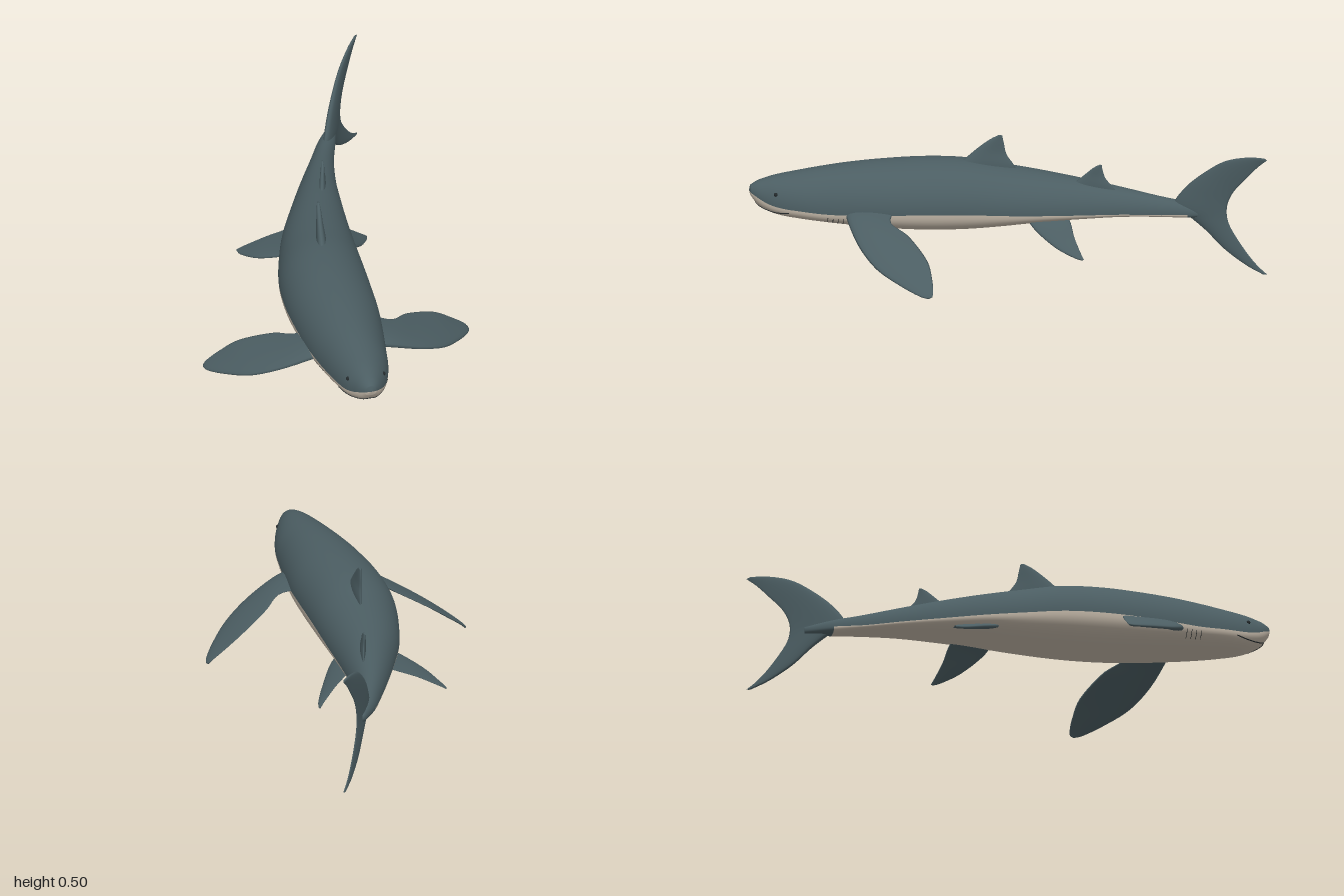
import * as THREE from 'three';

const mat = (name, color) => Object.assign(new THREE.MeshStandardMaterial({ color }), { name });

// Skin a list of closed rings; pick(i, j, count) chooses the material group of a quad
function loft(rings, pick = () => 0) {
  const n = rings[0].length, buckets = [[], []];
  for (let i = 0; i < rings.length - 1; i++) {
    for (let j = 0; j < n; j++) {
      const a = i * n + j, b = i * n + (j + 1) % n, c = a + n, d = b + n;
      buckets[pick(i, j, n)].push(a, c, b, b, c, d);
    }
  }
  const geo = new THREE.BufferGeometry().setFromPoints(rings.flat());
  geo.setIndex(buckets.flat());
  geo.addGroup(0, buckets[0].length, 0);
  geo.addGroup(buckets[0].length, buckets[1].length, 1);
  geo.computeVertexNormals();
  return geo;
}

const spline = (times, rows) => new THREE.CubicInterpolant(times, rows.flat(), rows[0].length);
const collapse = (ring) => {
  const c = new THREE.Vector3();
  ring.forEach((p) => c.addScaledVector(p, 1 / ring.length));
  return ring.map(() => c.clone());
};

// Body stations: z, centre x, half width, top y, colour line y, bottom y
const STATIONS = [
  [0.995, -0.02, 0.022, 0.292, 0.268, 0.252],
  [0.97, -0.02, 0.045, 0.307, 0.255, 0.218],
  [0.94, -0.019, 0.063, 0.318, 0.240, 0.199],
  [0.90, -0.018, 0.083, 0.329, 0.228, 0.183],
  [0.80, -0.016, 0.114, 0.346, 0.218, 0.166],
  [0.70, -0.018, 0.133, 0.360, 0.209, 0.152],
  [0.60, -0.02, 0.150, 0.370, 0.208, 0.139],
  [0.45, -0.02, 0.168, 0.379, 0.210, 0.122],
  [0.30, -0.02, 0.175, 0.382, 0.210, 0.112],
  [0.15, -0.012, 0.172, 0.376, 0.208, 0.114],
  [0.00, 0.008, 0.157, 0.355, 0.202, 0.130],
  [-0.15, 0.036, 0.135, 0.335, 0.200, 0.152],
  [-0.30, 0.075, 0.105, 0.315, 0.202, 0.170],
  [-0.45, 0.119, 0.074, 0.292, 0.206, 0.185],
  [-0.60, 0.173, 0.048, 0.270, 0.210, 0.195],
  [-0.70, 0.216, 0.036, 0.260, 0.220, 0.201],
  [-0.80, 0.266, 0.012, 0.245, 0.230, 0.218],
];
const bodyCurve = spline(STATIONS.map((s) => -s[0]), STATIONS.map((s) => s.slice(1)));

// Point on the skin: round back above the colour line, fuller belly below it
function skin(z, angle, swell = 1) {
  const [cx, hw, top, seam, bottom] = bodyCurve.evaluate(-z);
  const c = Math.cos(angle), s = Math.sin(angle);
  const x = s >= -1e-6 ? c : Math.sign(c) * Math.abs(c) ** 0.8;
  const y = s >= 0 ? (top - seam) * s : (bottom - seam) * Math.abs(s) ** 0.85;
  return new THREE.Vector3(cx + hw * x * swell, seam + y * swell, z);
}

function bodyGeometry() {
  const rings = [], zs = [], n = 48;
  for (let i = 0; i <= 10; i++) zs.push(0.995 - 0.095 * (i / 10) ** 1.5);
  for (let i = 1; i <= 68; i++) zs.push(0.9 - i * 0.025);
  zs.forEach((z) => rings.push(
    Array.from({ length: n }, (_, j) => skin(z, (j / n) * Math.PI * 2))));
  const nose = collapse(rings[0]);
  nose.forEach((p) => { p.z = 1; });
  rings.unshift(nose);
  rings.push(collapse(rings[rings.length - 1]));
  return loft(rings, (i, j) => (j >= n / 2 && (i < 1 || zs[i - 1] > -0.7) ? 1 : 0));
}

// Fin from chords: leading x,y,z, trailing x,y,z, half thickness
function finGeometry(chords, steps = 28, side = 10) {
  const curve = spline(chords.map((_, i) => i), chords);
  const at = (t) => {
    const r = Array.from(curve.evaluate(t));
    return { L: new THREE.Vector3(...r.slice(0, 3)), T: new THREE.Vector3(...r.slice(3, 6)), h: r[6] };
  };
  const last = chords.length - 1, rings = [];
  for (let i = 0; i <= steps; i++) {
    const t = (i / steps) * last, { L, T, h } = at(t);
    const before = at(Math.max(0, t - 0.1)), after = at(Math.min(last, t + 0.1));
    const span = after.L.add(after.T).sub(before.L).sub(before.T);
    const normal = span.cross(T.clone().sub(L)).normalize();
    rings.push(Array.from({ length: side * 2 }, (_, j) => {
      const u = j <= side ? j / side : 2 - j / side;
      const v = u * u * (3 - 2 * u);
      const thick = h * 2.2 * Math.sqrt(v) * (1 - v) + (j % side ? 0.0015 : 0);
      return L.clone().lerp(T, v).addScaledVector(normal, j <= side ? thick : -thick);
    }));
  }
  rings.unshift(collapse(rings[0]));
  rings.push(collapse(rings[rings.length - 1]));
  return loft(rings);
}

export function createModel() {
  const group = new THREE.Group();
  group.name = 'shark';
  const slate = mat('slate back', 0x4b5d62);
  const cream = mat('cream belly', 0xbfb4a5);
  const dark = mat('dark detail', 0x23292b);
  const add = (name, geo, material) => {
    const mesh = new THREE.Mesh(geo, material);
    mesh.name = name;
    group.add(mesh);
    return mesh;
  };

  add('body', bodyGeometry(), [slate, cream]);

  // Pectoral fins
  const pectoral = [
    [0.08, 0.215, 0.63, 0.08, 0.225, 0.42, 0.020],
    [0.16, 0.190, 0.625, 0.19, 0.200, 0.46, 0.018],
    [0.285, 0.132, 0.59, 0.27, 0.168, 0.395, 0.015],
    [0.39, 0.078, 0.53, 0.39, 0.110, 0.332, 0.012],
    [0.47, 0.038, 0.445, 0.47, 0.058, 0.318, 0.009],
    [0.52, 0.012, 0.375, 0.515, 0.026, 0.318, 0.005],
    [0.533, 0.004, 0.34, 0.53, 0.010, 0.322, 0.003],
  ];
  const flip = (rows) => rows.map(([a, b, c, d, ...rest]) => [-a, b, c, -d, ...rest]);
  add('leftPectoralFin', finGeometry(pectoral), slate);
  add('rightPectoralFin', finGeometry(flip(pectoral)), slate);

  // Pelvic fins follow the bend of the body
  add('leftPelvicFin', finGeometry([
    [0.08, 0.20, -0.07, 0.09, 0.20, -0.23, 0.012],
    [0.16, 0.15, -0.10, 0.15, 0.16, -0.25, 0.010],
    [0.225, 0.09, -0.18, 0.20, 0.12, -0.26, 0.008],
    [0.265, 0.06, -0.25, 0.25, 0.075, -0.28, 0.005],
    [0.275, 0.05, -0.285, 0.273, 0.053, -0.292, 0.002],
  ]), slate);
  add('rightPelvicFin', finGeometry([
    [-0.03, 0.19, -0.08, 0.03, 0.19, -0.26, 0.012],
    [-0.11, 0.15, -0.11, -0.04, 0.16, -0.27, 0.010],
    [-0.19, 0.105, -0.18, -0.13, 0.125, -0.285, 0.008],
    [-0.235, 0.072, -0.26, -0.21, 0.085, -0.30, 0.005],
    [-0.245, 0.065, -0.295, -0.243, 0.067, -0.305, 0.002],
  ]), slate);

  // Dorsal fins
  add('firstDorsalFin', finGeometry([
    [-0.018, 0.345, 0.20, 0.025, 0.335, -0.05, 0.022],
    [-0.013, 0.380, 0.155, 0.022, 0.365, -0.035, 0.020],
    [-0.007, 0.425, 0.105, 0.014, 0.405, -0.008, 0.014],
    [0.000, 0.462, 0.058, 0.010, 0.450, 0.002, 0.009],
    [0.006, 0.482, 0.022, 0.008, 0.480, 0.008, 0.004],
  ]), slate);
  add('secondDorsalFin', finGeometry([
    [0.085, 0.295, -0.25, 0.14, 0.285, -0.43, 0.014],
    [0.095, 0.322, -0.285, 0.135, 0.303, -0.415, 0.012],
    [0.103, 0.350, -0.315, 0.125, 0.335, -0.388, 0.009],
    [0.112, 0.375, -0.342, 0.120, 0.365, -0.378, 0.006],
    [0.116, 0.388, -0.365, 0.118, 0.387, -0.374, 0.003],
  ]), slate);

  // Tail fin, swept along the bend: leading z,y, trailing z,y, half thickness
  const bend = (z) => 0.175 + 0.42 * (-z - 0.6) + 0.42 * (-z - 0.6) ** 2;
  add('tailFin', finGeometry([
    [-0.985, 0.503, -1.0, 0.498, 0.003],
    [-0.93, 0.494, -0.965, 0.460, 0.005],
    [-0.85, 0.463, -0.92, 0.400, 0.008],
    [-0.78, 0.410, -0.88, 0.345, 0.011],
    [-0.70, 0.330, -0.857, 0.295, 0.015],
    [-0.65, 0.245, -0.85, 0.250, 0.018],
    [-0.70, 0.213, -0.857, 0.205, 0.015],
    [-0.77, 0.160, -0.88, 0.160, 0.011],
    [-0.84, 0.095, -0.925, 0.095, 0.008],
    [-0.92, 0.045, -0.965, 0.050, 0.005],
    [-0.985, 0.020, -1.0, 0.022, 0.003],
  ].map(([lz, ly, tz, ty, h]) => [bend(lz), ly, lz, bend(tz), ty, tz, h]), 50), slate);

  // Mouth line, eyes and gill slits laid on the skin
  const line = (name, points, r) =>
    add(name, new THREE.TubeGeometry(new THREE.CatmullRomCurve3(points), 32, r, 6), dark);
  line('mouth', Array.from({ length: 17 }, (_, i) => {
    const s = i / 8 - 1;
    return skin(0.975 - 0.125 * s * s, -Math.PI / 2 + 1.3 * s);
  }), 0.0025);
  for (const side of [1, -1]) {
    const around = (a) => (side > 0 ? a : Math.PI - a);
    const eye = add(side > 0 ? 'leftEye' : 'rightEye', new THREE.SphereGeometry(0.008, 16, 10), dark);
    eye.position.copy(skin(0.9, around(0.5), 0.98));
    for (let g = 0; g < 4; g++) {
      line('gillSlit', [-0.75, -0.45, -0.2].map((a) => skin(0.70 - g * 0.02, around(a))), 0.0012);
    }
  }
  return group;
}
